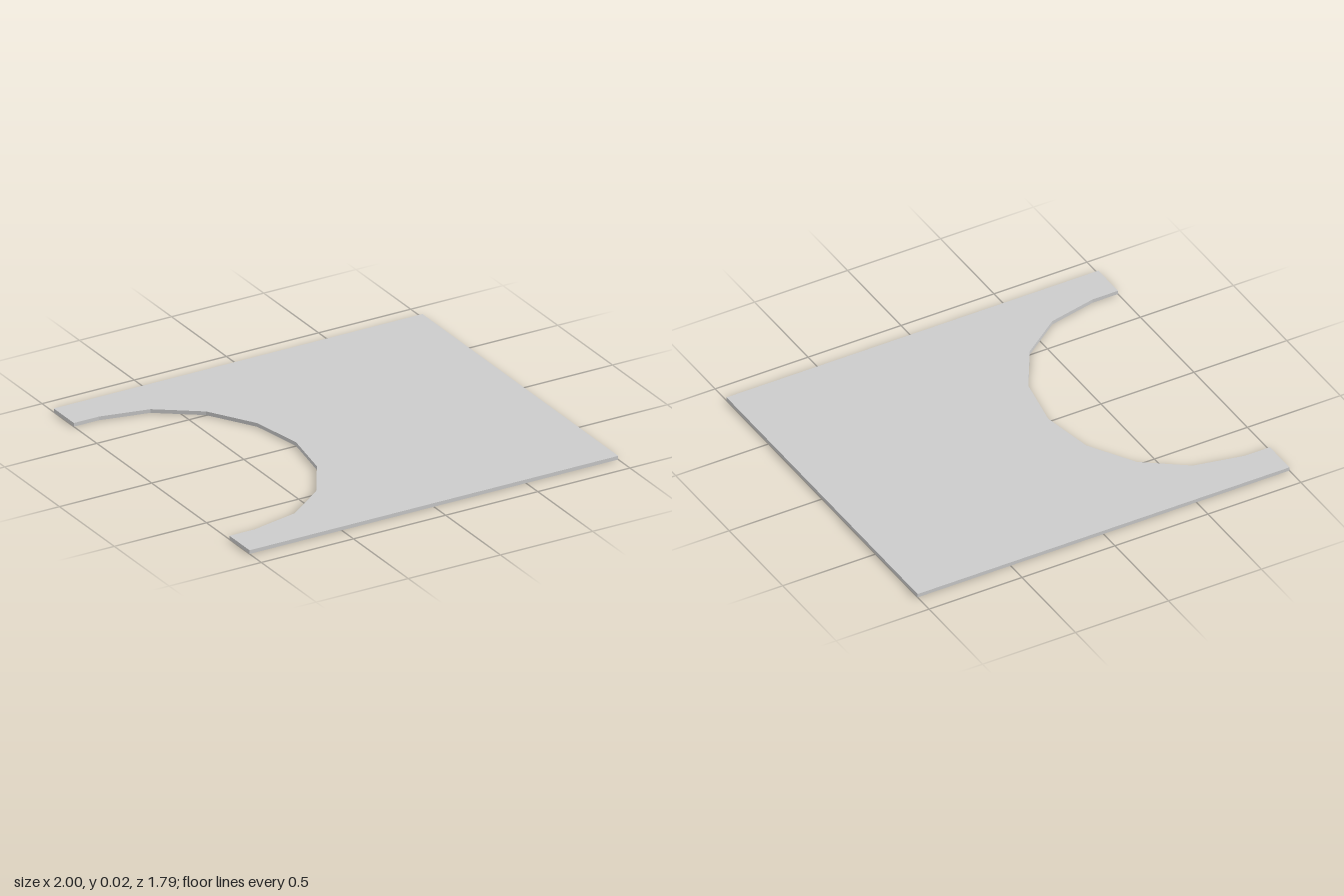
import * as THREE from 'three';

export function createModel() {
  const group = new THREE.Group();
  const halfDepth = 0.893, thickness = 0.019;

  // Square plate outline with a faceted half-ellipse bite in the -x edge
  const shape = new THREE.Shape();
  shape.moveTo(-1, -halfDepth);
  shape.lineTo(1, -halfDepth);
  shape.lineTo(1, halfDepth);
  shape.lineTo(-1, halfDepth);
  shape.lineTo(-1, 0.71);
  const segments = 8;
  for (let i = 0; i <= segments; i++) {
    const a = Math.PI / 2 - (i / segments) * Math.PI;
    shape.lineTo(-0.864 + 0.648 * Math.cos(a), 0.71 * Math.sin(a));
  }
  shape.lineTo(-1, -0.71);
  shape.closePath();

  // Lay the extruded outline flat on the ground
  const geometry = new THREE.ExtrudeGeometry(shape, { depth: thickness, bevelEnabled: false });
  geometry.rotateX(-Math.PI / 2);

  const plate = new THREE.Mesh(
    geometry,
    new THREE.MeshStandardMaterial({ color: 0xcccccc, flatShading: true })
  );
  plate.name = 'notchedPlate';
  group.add(plate);
  return group;
}
